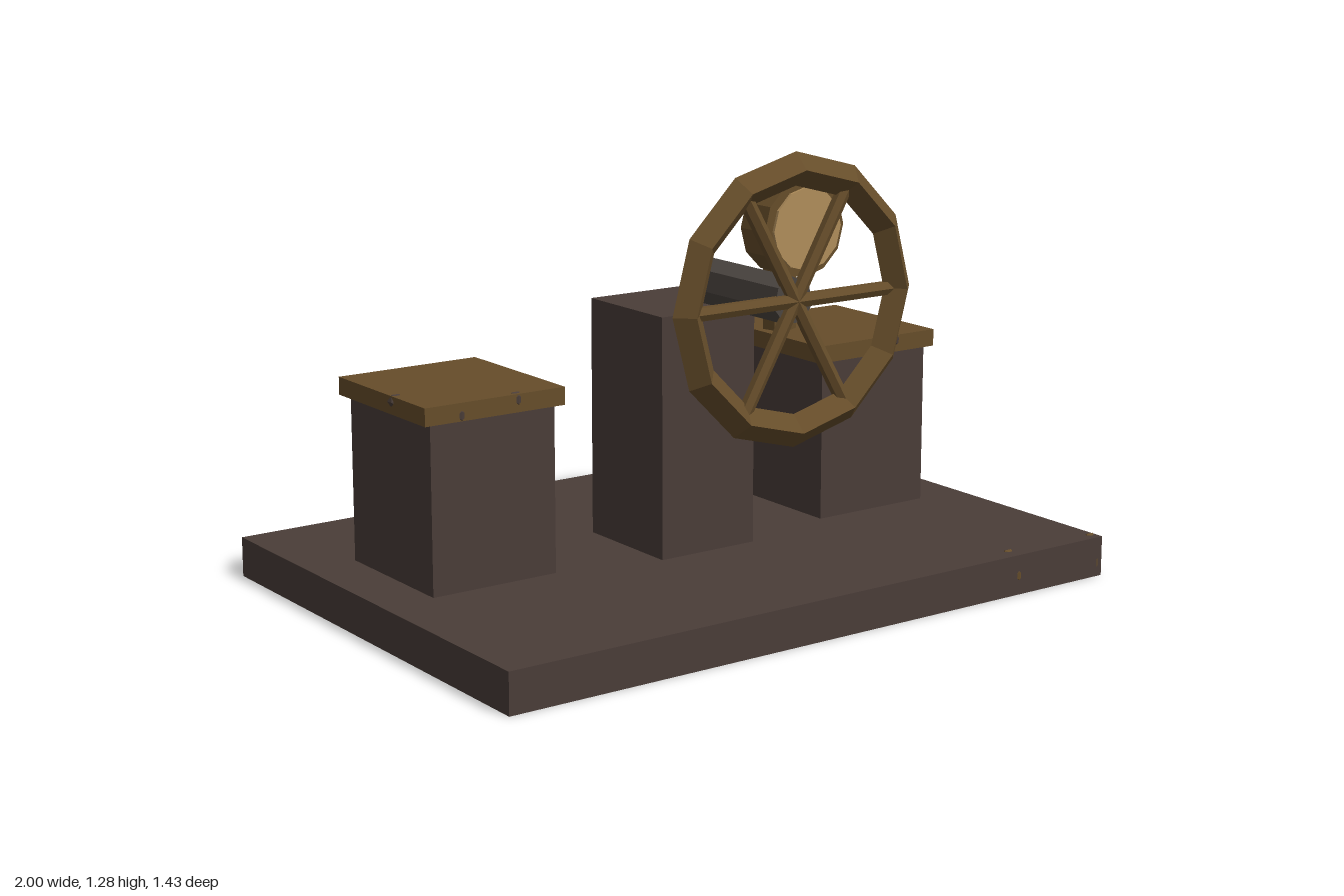
import * as THREE from 'three';

const mat = (name, color) => {
  const m = new THREE.MeshStandardMaterial({ color, flatShading: true });
  m.name = name;
  return m;
};

export function createModel() {
  const stone = mat('dark stone', 0x4a3d38);
  const bronze = mat('bronze', 0x664d2a);
  const iron = mat('iron', 0x4b4540);
  const dialTan = mat('pale brass', 0xb08d5a);

  const model = new THREE.Group();
  model.name = 'valveConsole';
  const add = (name, geo, material, x, y, z, parent = model) => {
    const m = new THREE.Mesh(geo, material);
    m.name = name;
    m.position.set(x, y, z);
    parent.add(m);
    return m;
  };
  const box = (name, material, w, y0, y1, z0, z1, x = 0) =>
    add(name, new THREE.BoxGeometry(w, y1 - y0, z1 - z0), material, x, (y0 + y1) / 2, (z0 + z1) / 2);
  // cylinder lying along z
  const rod = (r, len, sides) => new THREE.CylinderGeometry(r, r, len, sides).rotateX(-Math.PI / 2);

  // base slab, centre column and two capped pedestals
  box('base', stone, 2, 0, 0.115, -0.713, 0.713);
  box('column', stone, 0.315, 0.115, 0.8, -0.172, 0.172);
  for (const s of [-1, 1]) {
    const side = s > 0 ? 'left' : 'right';
    box(side + 'Pedestal', stone, 0.386, 0.115, 0.585, -0.324, 0.1, s * 0.655);
    box(side + 'Cap', bronze, 0.434, 0.585, 0.635, -0.345, 0.116, s * 0.655);
  }

  // hand wheel on its shaft
  add('shaft', rod(0.065, 0.37, 7), iron, 0, 0.886, 0.36);
  const wheel = new THREE.Group();
  wheel.name = 'wheel';
  wheel.position.set(0, 0.888, 0.55);
  model.add(wheel);
  add('rim', new THREE.TorusGeometry(0.35, 0.045, 4, 12), bronze, 0, 0, 0, wheel);
  for (let i = 0; i < 3; i++) {
    const spoke = add('spoke', new THREE.CylinderGeometry(0.02, 0.02, 0.69, 6), bronze, 0, 0, 0, wheel);
    spoke.rotation.z = Math.PI / 2 + (i * Math.PI) / 3;
  }

  // gauge on a post
  add('gaugePost', new THREE.CylinderGeometry(0.052, 0.052, 0.31, 7), bronze, 0.514, 0.79, -0.172);
  add('gaugeDrum', rod(0.146, 0.115, 12), bronze, 0.515, 0.95, -0.113);
  add('gaugeFace', rod(0.124, 0.009, 12), dialTan, 0.515, 0.95, -0.044);

  // small embedded flecks that barely break the surfaces
  const fleck = new THREE.IcosahedronGeometry(0.022, 0);
  const flecks = [
    [bronze, 0.68, 0.055, 0.697], [bronze, 0.68, 0.1, 0.665], [bronze, 0.983, 0.04, 0.695],
    [bronze, 0.983, 0.1, 0.68], [bronze, 0.68, 0.1, -0.47], [bronze, -0.68, 0.055, -0.697],
    [stone, 0.73, 0.619, 0.1], [stone, -0.585, 0.619, 0.1], [stone, -0.76, 0.6, 0.1],
    [stone, -0.858, 0.619, -0.06], [stone, 0.859, 0.617, -0.18],
  ];
  for (const [m, x, y, z] of flecks) add('fleck', fleck, m, x, y, z);

  return model;
}
